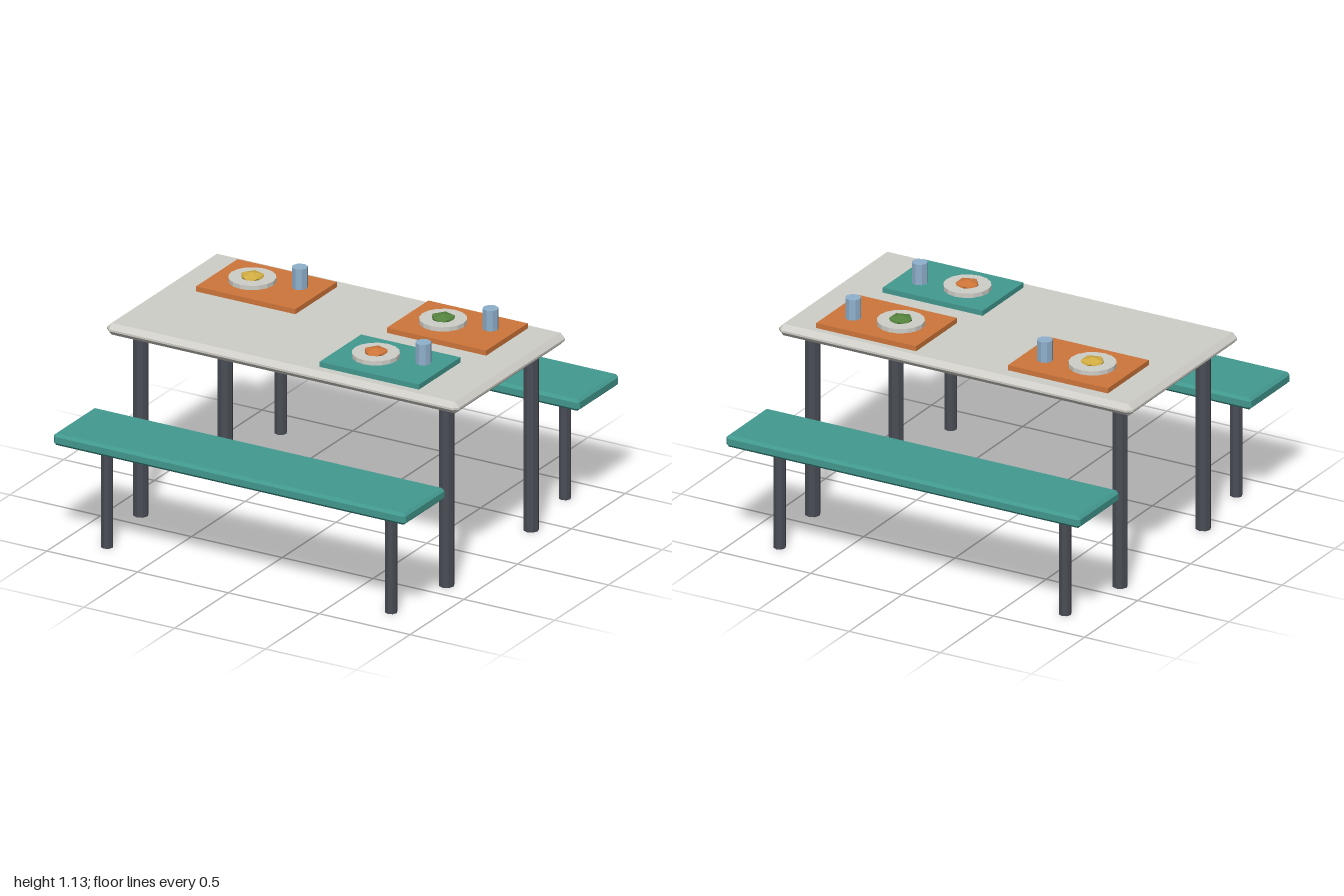
import * as THREE from 'three';
import { ConvexGeometry } from 'three/addons/geometries/ConvexGeometry.js';

const mat = (name, color) => {
  const m = new THREE.MeshStandardMaterial({ color, flatShading: true });
  m.name = name;
  return m;
};

// Box with every edge cut by a single 45 degree chamfer
function chamferBox(w, h, d, c) {
  const points = [];
  for (const x of [-1, 1]) for (const y of [-1, 1]) for (const z of [-1, 1]) {
    points.push(
      new THREE.Vector3(x * w / 2, y * (h / 2 - c), z * (d / 2 - c)),
      new THREE.Vector3(x * (w / 2 - c), y * h / 2, z * (d / 2 - c)),
      new THREE.Vector3(x * (w / 2 - c), y * (h / 2 - c), z * d / 2));
  }
  return new ConvexGeometry(points);
}

// Flattened icosahedron with one vertex pointing up
function foodGeometry(radius, height) {
  const g = new THREE.IcosahedronGeometry(1, 0);
  g.rotateX(-Math.atan((1 + Math.sqrt(5)) / 2));
  g.rotateY(-Math.PI / 2);
  g.scale(radius, height, radius);
  g.computeVertexNormals();
  return g;
}

export function createModel() {
  const model = new THREE.Group();
  model.name = 'picnicTable';

  const stone = mat('lightGrey', 0xcfcec8);
  const teal = mat('teal', 0x42998f);
  const orange = mat('orange', 0xcf763a);
  const metal = mat('darkMetal', 0x4a4d56);
  const glass = mat('paleBlue', 0x8fb0cc);
  const yellow = mat('yellow', 0xd2ae42);
  const green = mat('green', 0x55843e);

  const add = (parent, name, geometry, material, x, y, z) => {
    const mesh = new THREE.Mesh(geometry, material);
    mesh.name = name;
    mesh.position.set(x, y, z);
    parent.add(mesh);
    return mesh;
  };

  // Table
  const table = new THREE.Group();
  table.name = 'table';
  model.add(table);
  add(table, 'tableTop', chamferBox(1.94, 0.06, 1.03, 0.025), stone, 0, 0.97, 0);
  const tableLeg = new THREE.CylinderGeometry(0.0375, 0.0375, 0.945, 8);
  for (const x of [-0.842, 0.842]) for (const z of [-0.393, 0.393])
    add(table, 'tableLeg', tableLeg, metal, x, 0.4725, z);

  // Benches at front and back
  const seat = chamferBox(1.94, 0.06, 0.385, 0.014);
  const benchLeg = new THREE.CylinderGeometry(0.03, 0.03, 0.555, 8);
  for (const side of [1, -1]) {
    const bench = new THREE.Group();
    bench.name = side > 0 ? 'frontBench' : 'backBench';
    bench.position.z = side * 0.8075;
    model.add(bench);
    add(bench, 'benchSeat', seat, teal, 0, 0.58, 0);
    for (const x of [-0.782, 0.782]) add(bench, 'benchLeg', benchLeg, metal, x, 0.2775, 0);
  }

  // Place settings: tray, plate, food and cup
  const tray = new THREE.BoxGeometry(0.547, 0.026, 0.387);
  const plate = new THREE.CylinderGeometry(0.115, 0.115, 0.022, 16);
  const food = foodGeometry(0.064, 0.025);
  const cup = new THREE.CylinderGeometry(0.039, 0.039, 0.106, 8);
  const settings = [
    [-0.523, -0.237, orange, yellow],
    [0.512, -0.263, orange, green],
    [0.449, 0.256, teal, orange],
  ];
  for (const [x, z, trayMaterial, foodMaterial] of settings) {
    const setting = new THREE.Group();
    setting.name = 'placeSetting';
    setting.position.set(x, 1, z);
    model.add(setting);
    add(setting, 'tray', tray, trayMaterial, 0, 0.013, 0);
    add(setting, 'plate', plate, stone, -0.078, 0.037, 0);
    add(setting, 'food', food, foodMaterial, -0.078, 0.047, 0);
    add(setting, 'cup', cup, glass, 0.154, 0.078, -0.05);
  }
  return model;
}
